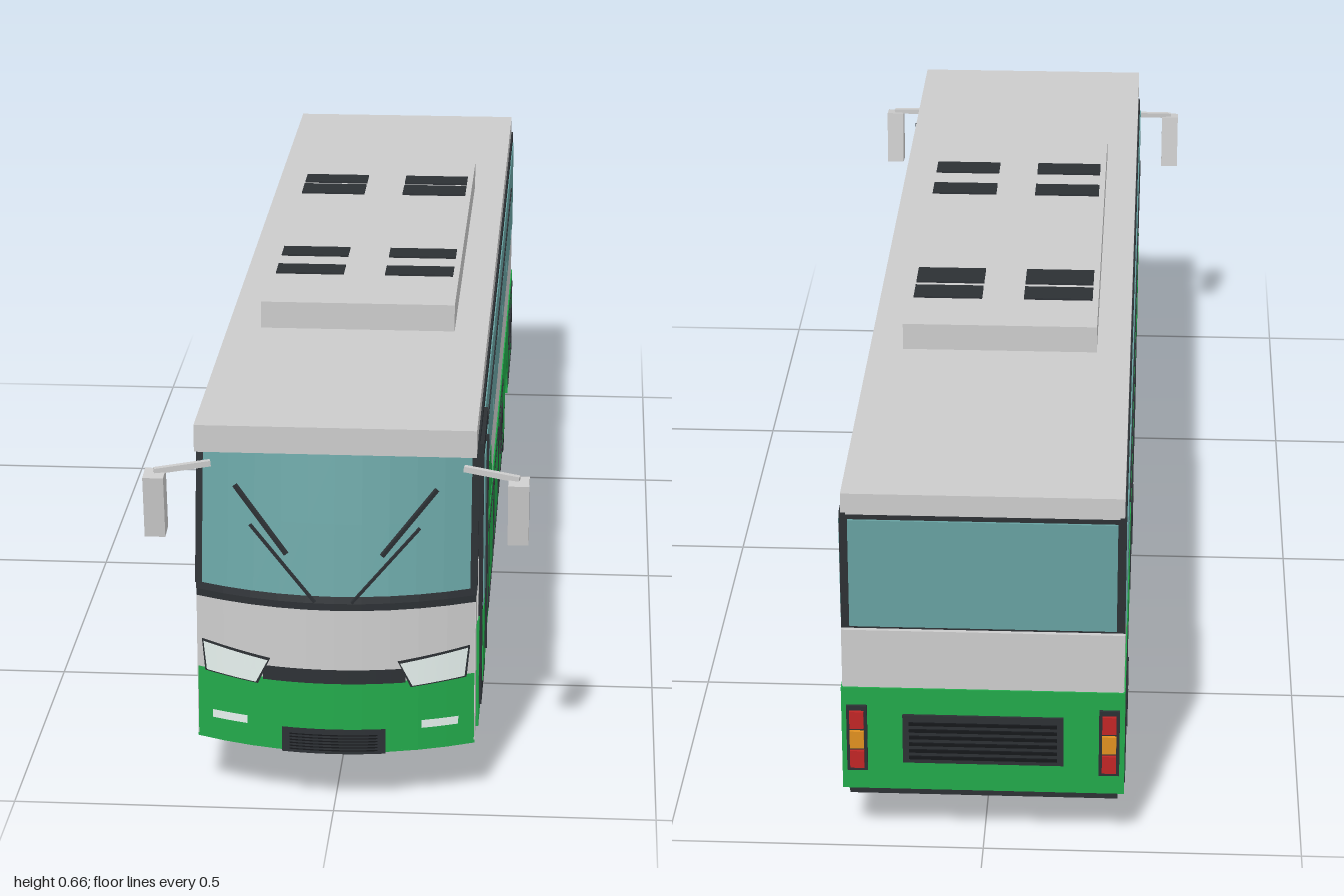
import * as THREE from 'three';

const GREY = 0xcccccc, GREEN = 0x22a84a, GLASS = 0x66a0a0, DARK = 0x2c3034, LAMP = 0xe4efec;
const mats = {};
const mat = (c) => (mats[c] ??= new THREE.MeshStandardMaterial({ color: c, flatShading: true, side: THREE.DoubleSide }));

export function createModel() {
  const bus = new THREE.Group();
  bus.name = 'bus';

  const add = (name, color, geo, parent = bus) => {
    const m = new THREE.Mesh(geo, mat(color));
    m.name = name;
    parent.add(m);
    return m;
  };
  const box = (name, color, x0, x1, y0, y1, z0, z1) => {
    const m = add(name, color, new THREE.BoxGeometry(Math.abs(x1 - x0), y1 - y0, Math.abs(z1 - z0)));
    m.position.set((x0 + x1) / 2, (y0 + y1) / 2, (z0 + z1) / 2);
    return m;
  };
  // thin bar between two points
  const bar = (name, color, a, b, t) => {
    const p = new THREE.Vector3(...a), q = new THREE.Vector3(...b);
    const m = add(name, color, new THREE.BoxGeometry(t, t, p.distanceTo(q)));
    m.position.copy(p).lerp(q, 0.5);
    m.lookAt(q);
    return m;
  };
  // flat side panel drawn in (z, y), its outer face at x = s * xo
  const panel = (name, color, s, shape, xo, depth = 0.01) => {
    const g = new THREE.ExtrudeGeometry(shape, { depth, bevelEnabled: false, curveSegments: 10 });
    g.rotateY(-Math.PI / 2).translate(s > 0 ? xo : depth - xo, 0, 0);
    return add(name, color, g);
  };
  const poly = (pts) => new THREE.Shape(pts.map(([a, b]) => new THREE.Vector2(a, b)));

  // bowed front surface: depth as a function of x and y
  const frontZ = (x, y) => {
    const base = y < 0.34 ? 0.99 - (y - 0.1) * 0.03 : 0.983 - (y - 0.34) * 0.22;
    return base - 0.05 * (x / 0.215) ** 2;
  };
  // patch on the front surface; corners run bottom-left, bottom-right, top-right, top-left
  const patch = (name, color, [a, b, c, d], off = 0) => {
    const g = new THREE.PlaneGeometry(1, 1, 10, 2), p = g.attributes.position, L = THREE.MathUtils.lerp;
    for (let i = 0; i < p.count; i++) {
      const u = p.getX(i) + 0.5, v = p.getY(i) + 0.5;
      const x = L(L(a[0], b[0], u), L(d[0], c[0], u), v);
      const y = L(L(a[1], b[1], u), L(d[1], c[1], u), v);
      p.setXYZ(i, x, y, frontZ(x, y) + off);
    }
    g.computeVertexNormals();
    return add(name, color, g);
  };
  const rect = (x0, x1, y0, y1) => [[x0, y0], [x1, y0], [x1, y1], [x0, y1]];

  // roof and air conditioning unit
  box('roof', GREY, -0.215, 0.215, 0.567, 0.61, -0.98, 0.94);
  box('airConditioner', GREY, -0.16, 0.16, 0.61, 0.655, -0.445, 0.455);
  for (const [z0, z1] of [[-0.335, -0.285], [-0.27, -0.21], [0.14, 0.19], [0.245, 0.295]])
    for (const s of [-1, 1]) box('roofVent', DARK, s * 0.035, s * 0.15, 0.65, 0.658, z0, z1);

  // floor and chassis
  box('floor', DARK, -0.21, 0.21, 0.085, 0.1, -0.98, 0.9);
  box('subframe', DARK, -0.185, 0.185, 0.076, 0.086, -0.94, 0.91);
  for (const s of [-1, 1]) box('chassisRail', DARK, s * 0.105, s * 0.13, 0.07, 0.08, -0.94, 0.9);
  const nose = [[-0.215, -0.87], [0.215, -0.87]];
  for (let i = 8; i >= -8; i--) nose.push([i * 0.0268, -frontZ(i * 0.0268, 0.1)]);
  add('noseUnderside', GREEN, new THREE.ShapeGeometry(poly(nose)).rotateX(-Math.PI / 2).translate(0, 0.097, 0));

  // front face
  patch('frontBumper', GREEN, rect(-0.216, 0.216, 0.095, 0.212));
  patch('frontPanel', GREY, rect(-0.216, 0.216, 0.212, 0.33));
  patch('windshieldSill', DARK, rect(-0.216, 0.216, 0.33, 0.352), 0.002);
  patch('windshield', GLASS, rect(-0.208, 0.208, 0.35, 0.57));
  patch('upperGrille', DARK, rect(-0.11, 0.11, 0.211, 0.234), 0.005);
  patch('lowerGrille', DARK, rect(-0.08, 0.08, 0.095, 0.136), 0.006);
  for (let i = 0; i < 6; i++)
    patch('grilleSlat', 0x15171a, rect(-0.068, 0.068, 0.101 + i * 0.005, 0.103 + i * 0.005), 0.009);

  for (const s of [-1, 1]) {
    const side = (pts) => pts.map(([x, y]) => [s * x, y]);
    patch('headlightSurround', DARK, side([[0.118, 0.202], [0.203, 0.209], [0.208, 0.261], [0.098, 0.246]]), 0.003);
    patch('headlight', LAMP, side([[0.121, 0.205], [0.2, 0.212], [0.205, 0.258], [0.102, 0.243]]), 0.006);
    patch('fogLamp', LAMP, side(rect(0.135, 0.191, 0.133, 0.146)), 0.004);
    patch('frontPillar', DARK, side(rect(0.207, 0.218, 0.35, 0.572)), 0.003);
    // wipers
    const on = (x, y, off) => [s * x, y, frontZ(x, y) + off];
    bar('wiperBlade', DARK, on(0.155, 0.51, 0.008), on(0.073, 0.415, 0.008), 0.006);
    bar('wiperArm', DARK, on(0.13, 0.455, 0.011), on(0.028, 0.345, 0.008), 0.004);
    // mirrors
    bar('mirrorArm', GREY, [s * 0.195, 0.535, 0.9], [s * 0.28, 0.527, 0.92], 0.009);
    box('mirror', GREY, s * 0.263, s * 0.295, 0.424, 0.525, 0.9, 0.935).rotation.x = 0.12;

    // front corner
    const edge = (y) => frontZ(0.215, y);
    panel('cornerPanel', GREY, s, poly([[0.88, 0.1], [edge(0.1), 0.1], [edge(0.34), 0.34], [0.88, 0.34]]), 0.216);
    panel('cornerPillar', DARK, s, poly([[0.865, 0.34], [edge(0.34), 0.34], [edge(0.57), 0.575], [0.865, 0.575]]), 0.217);

    // lower side with wheel arches
    const lower = new THREE.Shape();
    lower.moveTo(-0.99, 0.1);
    for (const z of [-0.62, 0.58]) {
      lower.lineTo(z - 0.1, 0.1);
      lower.absarc(z, 0.1, 0.1, Math.PI, 0, true);
    }
    lower.lineTo(0.89, 0.1);
    lower.lineTo(0.89, 0.28);
    lower.lineTo(-0.99, 0.28);
    panel('lowerSide', GREEN, s, lower, 0.22);
    const sbox = (name, color, xo, z0, z1, y0, y1) => box(name, color, s * (xo - 0.01), s * xo, y0, y1, z0, z1);
    sbox('waistPanel', GREY, 0.218, -0.985, 0.89, 0.28, 0.38);
    for (const z of [0.475, 0.422, 0.37])
      panel('stripe', GREEN, s, poly([[z, 0.372], [z - 0.085, 0.28], [z - 0.055, 0.28], [z + 0.03, 0.372]].map(
        ([a, y], i) => [i === 0 ? z - 0.03 : i === 1 ? z - 0.1 : i === 2 ? z - 0.07 : z, y])), 0.2195);

    // side windows
    sbox('windowFrame', DARK, 0.218, -0.98, 0.87, 0.375, 0.578);
    const cuts = [0.695, 0.505, 0.245, -0.015, -0.275, -0.535, -0.785, -0.97];
    for (let i = 0; i < 7; i++) {
      sbox('sideWindow', GLASS, 0.22, cuts[i + 1] + 0.005, cuts[i] - 0.005, 0.39, 0.56);
      if (i < 6) sbox('windowTransom', DARK, 0.222, cuts[i + 1], cuts[i], 0.507, 0.513);
    }
    if (s < 0) sbox('driverWindow', GLASS, 0.22, 0.705, 0.855, 0.39, 0.56);

    // luggage hatches with thin outlines, and vents
    for (const [z0, z1] of [[0.2, 0.44], [-0.07, 0.165], [-0.34, -0.105], [-0.975, -0.735]]) {
      const frame = poly([[z0, 0.112], [z1, 0.112], [z1, 0.26], [z0, 0.26]]);
      const t = 0.003;
      frame.holes.push(poly([[z0 + t, 0.115], [z0 + t, 0.257], [z1 - t, 0.257], [z1 - t, 0.115]]));
      panel('hatchOutline', DARK, s, frame, 0.2212, 0.003);
    }
    for (const z of [-0.225, -0.845]) {
      sbox('sideVent', DARK, 0.223, z - 0.055, z + 0.055, 0.195, 0.232);
      sbox('ventHandle', DARK, 0.223, z - 0.055, z + 0.055, 0.169, 0.173);
    }

    // tail lights
    box('tailLightHousing', DARK, s * 0.18, s * 0.212, 0.135, 0.25, -0.995, -0.985);
    [0xc02525, 0xe09020, 0xc02525].forEach((c, i) =>
      box('tailLight', c, s * 0.185, s * 0.207, 0.142 + i * 0.035, 0.172 + i * 0.035, -1, -0.99));
  }

  // passenger door on the left side
  box('doorFrame', DARK, 0.212, 0.224, 0.13, 0.565, 0.7, 0.872);
  box('doorLowerPanel', GREEN, 0.215, 0.2255, 0.165, 0.285, 0.712, 0.86);
  box('doorGlass', GLASS, 0.215, 0.2255, 0.293, 0.54, 0.712, 0.86);
  box('doorHandrail', DARK, 0.222, 0.229, 0.19, 0.55, 0.783, 0.789);

  // rear face
  box('rearLowerPanel', GREEN, -0.218, 0.218, 0.1, 0.28, -0.99, -0.98);
  box('rearWaistPanel', GREY, -0.217, 0.217, 0.28, 0.38, -0.987, -0.977);
  box('rearFrame', DARK, -0.217, 0.217, 0.375, 0.575, -0.98, -0.97);
  box('rearWindow', GLASS, -0.205, 0.205, 0.385, 0.567, -0.984, -0.974);
  box('rearGrille', DARK, -0.125, 0.125, 0.15, 0.235, -0.994, -0.985);
  for (let i = 0; i < 6; i++) box('rearSlat', 0x15171a, -0.115, 0.115, 0.158 + i * 0.012, 0.163 + i * 0.012, -0.997, -0.99);

  // wheels and arch liners
  const tyre = new THREE.LatheGeometry([[0.045, -0.014], [0.055, -0.02], [0.073, -0.02], [0.085, -0.006],
    [0.085, 0.006], [0.073, 0.02], [0.055, 0.02], [0.045, 0.014]].map(([r, y]) => new THREE.Vector2(r, y)), 12).rotateZ(Math.PI / 2);
  const hub = new THREE.CylinderGeometry(0.05, 0.05, 0.03, 8).rotateZ(Math.PI / 2);
  const wheel = (name, x, z) => {
    const w = new THREE.Group();
    w.name = name;
    w.position.set(x, 0.085, z);
    add('tyre', 0x1e2124, tyre, w);
    add('hub', GREY, hub, w);
    bus.add(w);
  };
  for (const s of [-1, 1]) {
    wheel('frontWheel', s * 0.196, 0.58);
    wheel('rearOuterWheel', s * 0.196, -0.62);
    wheel('rearInnerWheel', s * 0.154, -0.62);
  }
  for (const z of [0.58, -0.62]) {
    const liner = new THREE.CylinderGeometry(0.1, 0.1, 0.43, 12, 1, true, 0, Math.PI).rotateZ(Math.PI / 2);
    add('wheelArch', GREY, liner).position.set(0, 0.1, z);
  }
  return bus;
}
